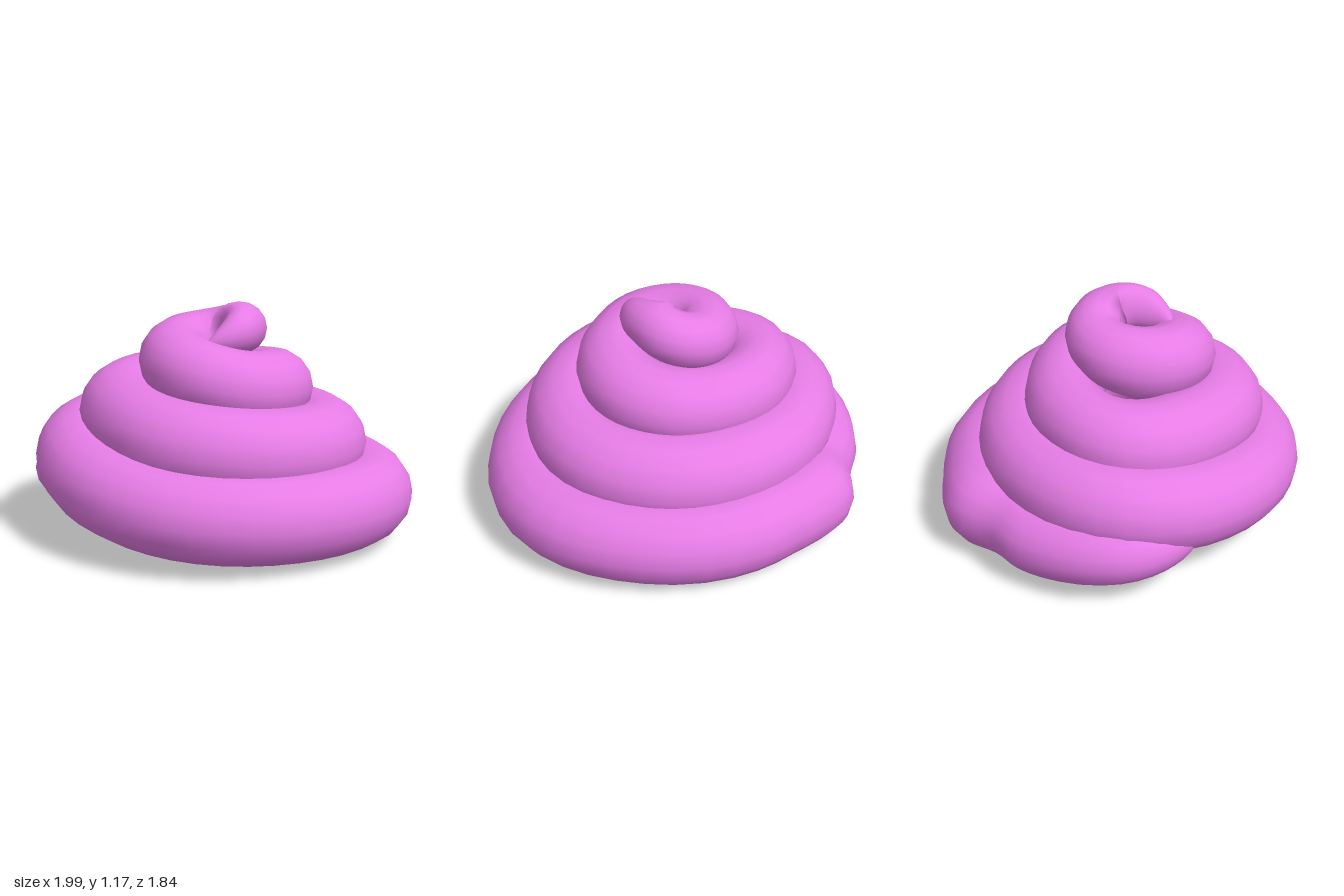
import * as THREE from 'three';

// Coil stations: [angle in degrees from the back, spiral radius, height, tube radius]
const KEYS = [
  [-118, 0.77, 0.27, 0.01], [-108, 0.80, 0.265, 0.10], [-88, 0.84, 0.255, 0.155], [-58, 0.775, 0.215, 0.185],
  [-43, 0.725, 0.21, 0.20], [-29, 0.765, 0.215, 0.22], [-12, 0.715, 0.215, 0.22],
  [0, 0.70, 0.215, 0.22], [45, 0.705, 0.22, 0.22],
  [90, 0.78, 0.23, 0.22], [135, 0.715, 0.25, 0.225], [180, 0.69, 0.28, 0.225], [225, 0.685, 0.345, 0.225],
  [270, 0.70, 0.42, 0.225], [315, 0.58, 0.435, 0.225], [360, 0.49, 0.445, 0.23], [405, 0.495, 0.46, 0.23],
  [450, 0.53, 0.48, 0.23], [495, 0.52, 0.515, 0.23], [540, 0.495, 0.555, 0.23], [585, 0.46, 0.595, 0.225],
  [630, 0.48, 0.635, 0.22], [675, 0.36, 0.67, 0.215], [720, 0.27, 0.695, 0.205], [765, 0.27, 0.725, 0.20],
  [810, 0.285, 0.755, 0.20], [855, 0.29, 0.785, 0.20], [900, 0.275, 0.845, 0.20], [945, 0.23, 0.89, 0.195],
  [990, 0.175, 0.92, 0.185], [1035, 0.14, 0.95, 0.165], [1080, 0.12, 0.985, 0.155],
  [1125, 0.11, 1.02, 0.148], [1170, 0.11, 1.045, 0.135], [1212, 0.16, 1.045, 0.11],
  [1240, 0.20, 1.02, 0.07], [1258, 0.255, 1.0, 0.008],
];
const SQUASH = 0.96; // the tube is slightly flatter than round
const pathCurve = new THREE.CatmullRomCurve3(
  KEYS.map(([a, R, y]) => new THREE.Vector3(a, R, y)), false, 'catmullrom', 0.5);
const sizeCurve = new THREE.CatmullRomCurve3(
  KEYS.map(([a, , , r]) => new THREE.Vector3(a, r, 0)), false, 'catmullrom', 0.5);

// Spiral state at curve parameter t, with a function giving points around the tube
function station(t) {
  const { x: deg, y: R, z: y } = pathCurve.getPoint(t);
  const a = THREE.MathUtils.degToRad(deg);
  const r = Math.max(0.005, sizeCurve.getPoint(t).y);
  const point = (phi) => {
    const d = R + r * Math.cos(phi);
    return [Math.sin(a) * d, y + SQUASH * r * Math.sin(phi), -Math.cos(a) * d];
  };
  return { deg, point };
}

function build(positions, indices) {
  const g = new THREE.BufferGeometry();
  g.setAttribute('position', new THREE.Float32BufferAttribute(positions, 3));
  g.setIndex(indices);
  g.computeVertexNormals();
  return g;
}

// Tapering tube wound around the vertical axis
function coilGeometry(sides = 16, perKey = 5) {
  const rings = (KEYS.length - 1) * perKey;
  const pos = [], idx = [];
  for (let i = 0; i <= rings; i++) {
    const s = station(i / rings);
    for (let j = 0; j < sides; j++) {
      pos.push(...s.point((j / sides) * Math.PI * 2));
      if (i === rings) continue;
      const a = i * sides + j, b = i * sides + (j + 1) % sides;
      idx.push(a, b, a + sides, b, b + sides, a + sides);
    }
  }
  return build(pos, idx);
}

// Shallow hollow underside: a fan from the axis to the inner flank of the lowest turn
function undersideGeometry() {
  const pos = [0, 0.25, 0], idx = [];
  for (let i = 0; i <= 400; i++) {
    const s = station(i / 400);
    if (s.deg >= -92 && s.deg <= 268) pos.push(...s.point(-Math.PI * 0.63));
  }
  const n = pos.length / 3 - 1;
  for (let i = 1; i <= n; i++) idx.push(0, i, i % n + 1);
  return build(pos, idx);
}

export function createModel() {
  const group = new THREE.Group();
  group.name = 'coiledSwirl';
  const add = (name, geometry, side) => {
    const mesh = new THREE.Mesh(geometry, new THREE.MeshStandardMaterial({ color: 0xe67ce6, side }));
    mesh.name = name;
    group.add(mesh);
  };
  add('coil', coilGeometry(), THREE.FrontSide);
  add('underside', undersideGeometry(), THREE.DoubleSide);
  return group;
}
